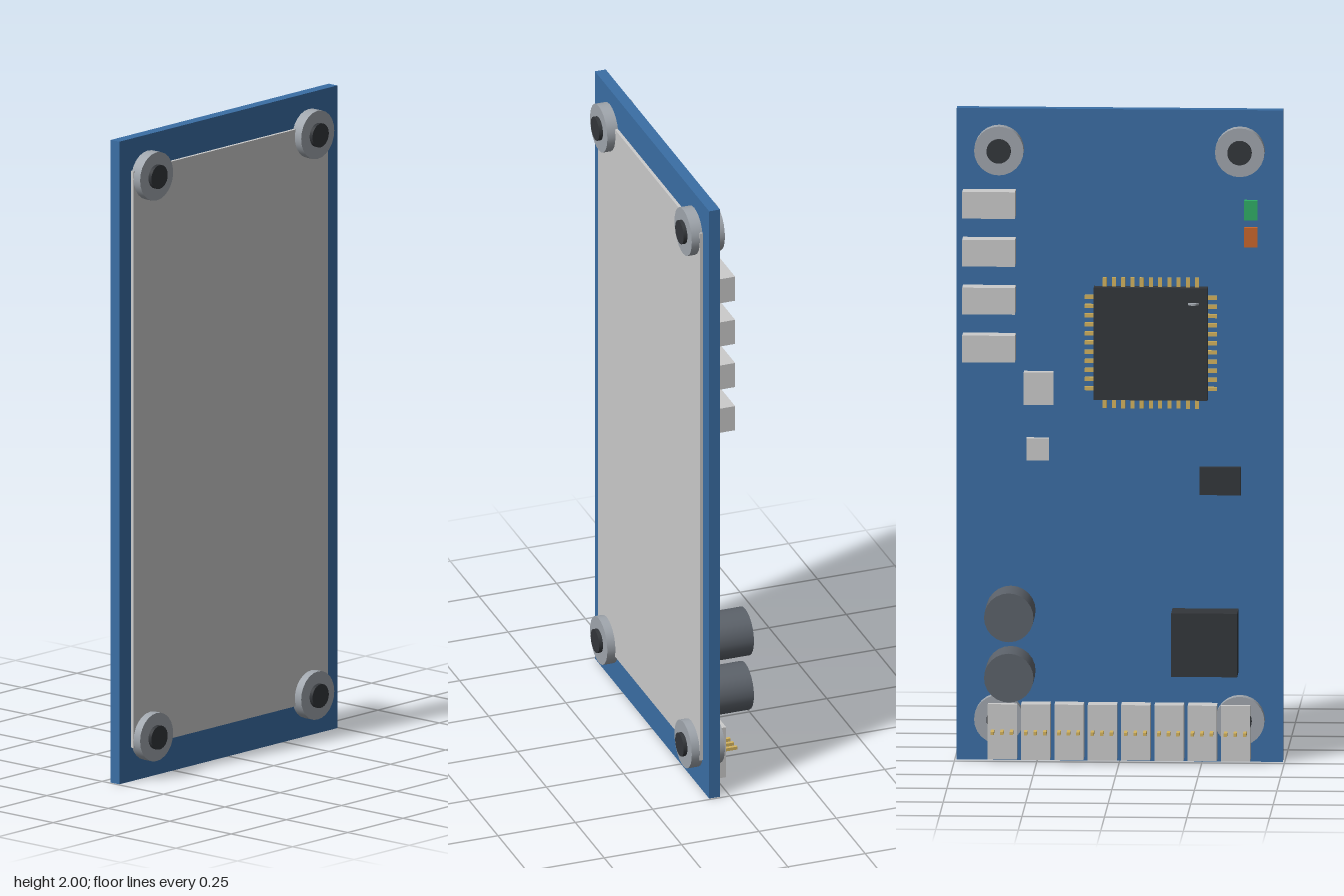
import * as THREE from 'three';

const BACK = 0.03; // z of the board's rear face, where the components sit
const paint = (color) => new THREE.MeshStandardMaterial({ color });
const mats = {
  grey: paint(0xcccccc), board: paint(0x3a6ea5), metal: paint(0xa0a6ad), dark: paint(0x33363a),
  can: paint(0x5c626a), gold: paint(0xd4b45f), green: paint(0x2fae66), orange: paint(0xc8662a),
};

export function createModel() {
  const model = new THREE.Group();

  function add(name, geometry, mat, x, y, z, parent = model) {
    const mesh = new THREE.Mesh(geometry, mats[mat]);
    mesh.name = name;
    mesh.position.set(x, y, z);
    parent.add(mesh);
    return mesh;
  }
  const box = (name, mat, w, h, d, x, y, z, parent) =>
    add(name, new THREE.BoxGeometry(w, h, d), mat, x, y, z, parent);
  // Box standing on the rear of the board, reaching back to zEnd
  const part = (name, mat, w, h, zEnd, x, y, parent) =>
    box(name, mat, w, h, BACK - zEnd, x, y, (BACK + zEnd) / 2, parent);
  // Cylinder along z between two depths
  function rod(name, mat, r, z0, z1, x, y, parent) {
    const g = new THREE.CylinderGeometry(r, r, z1 - z0, 24).rotateX(Math.PI / 2);
    return add(name, g, mat, x, y, (z0 + z1) / 2, parent);
  }
  function group(name) {
    const g = new THREE.Group();
    g.name = name;
    model.add(g);
    return g;
  }

  // Board and front plate
  box('board', 'board', 0.988, 2, 0.035, 0, 1, 0.0475);
  box('frontPlate', 'grey', 0.88, 1.795, 0.01, 0, 1.0025, 0.07);

  // Corner mounts: a collar with a dark pin right through
  for (const x of [-0.365, 0.365]) {
    for (const y of [0.13, 1.875]) {
      const mount = group('cornerMount');
      rod('mountCollar', 'metal', 0.075, -0.006, 0.101, x, y, mount);
      rod('mountPin', 'dark', 0.037, -0.018, 0.113, x, y, mount);
    }
  }

  // Side connectors
  for (let i = 0; i < 4; i++) part('sideConnector', 'grey', 0.16, 0.082, -0.026, 0.395, 1.711 - i * 0.147);

  // Indicator lights
  part('greenLight', 'green', 0.04, 0.06, 0.01, -0.398, 1.695);
  part('orangeLight', 'orange', 0.04, 0.06, 0.01, -0.398, 1.612);

  // Main chip with eleven leads on each side
  const chip = group('mainChip');
  chip.position.set(-0.095, 1.285, 0);
  part('chipBody', 'dark', 0.345, 0.345, -0.004, 0, 0, chip);
  for (let i = 0; i < 11; i++) {
    const t = (i - 5) * 0.028;
    for (const s of [-1, 1]) {
      box('chipLead', 'gold', 0.012, 0.035, 0.01, t, s * 0.183, 0.02, chip);
      box('chipLead', 'gold', 0.035, 0.012, 0.01, s * 0.183, t, 0.02, chip);
    }
  }
  add('chipMark', new THREE.CylinderGeometry(0.017, 0.017, 0.006, 16), 'metal', -0.13, 0.125, -0.006, chip);

  // Small chips and the power block
  part('greyChip', 'grey', 0.09, 0.1, 0, 0.245, 1.145);
  part('smallGreyChip', 'grey', 0.068, 0.068, 0.01, 0.248, 0.957);
  part('darkChip', 'dark', 0.125, 0.085, 0.01, -0.305, 0.863);
  part('powerBlock', 'dark', 0.2, 0.195, -0.065, -0.26, 0.372);

  // Capacitors
  for (const y of [0.46, 0.275]) rod('capacitor', 'can', 0.075, -0.113, BACK, 0.33, y);

  // Row of eight connectors with three pins each
  for (let i = 0; i < 8; i++) {
    const x = (i - 3.5) * 0.101;
    const connector = group('pinConnector');
    part('connectorBody', 'grey', 0.088, 0.17, -0.026, x, 0.095, connector);
    for (const dx of [-0.029, 0, 0.029])
      box('connectorPin', 'gold', 0.01, 0.01, 0.07, x + dx, 0.097, -0.031, connector);
  }
  return model;
}
